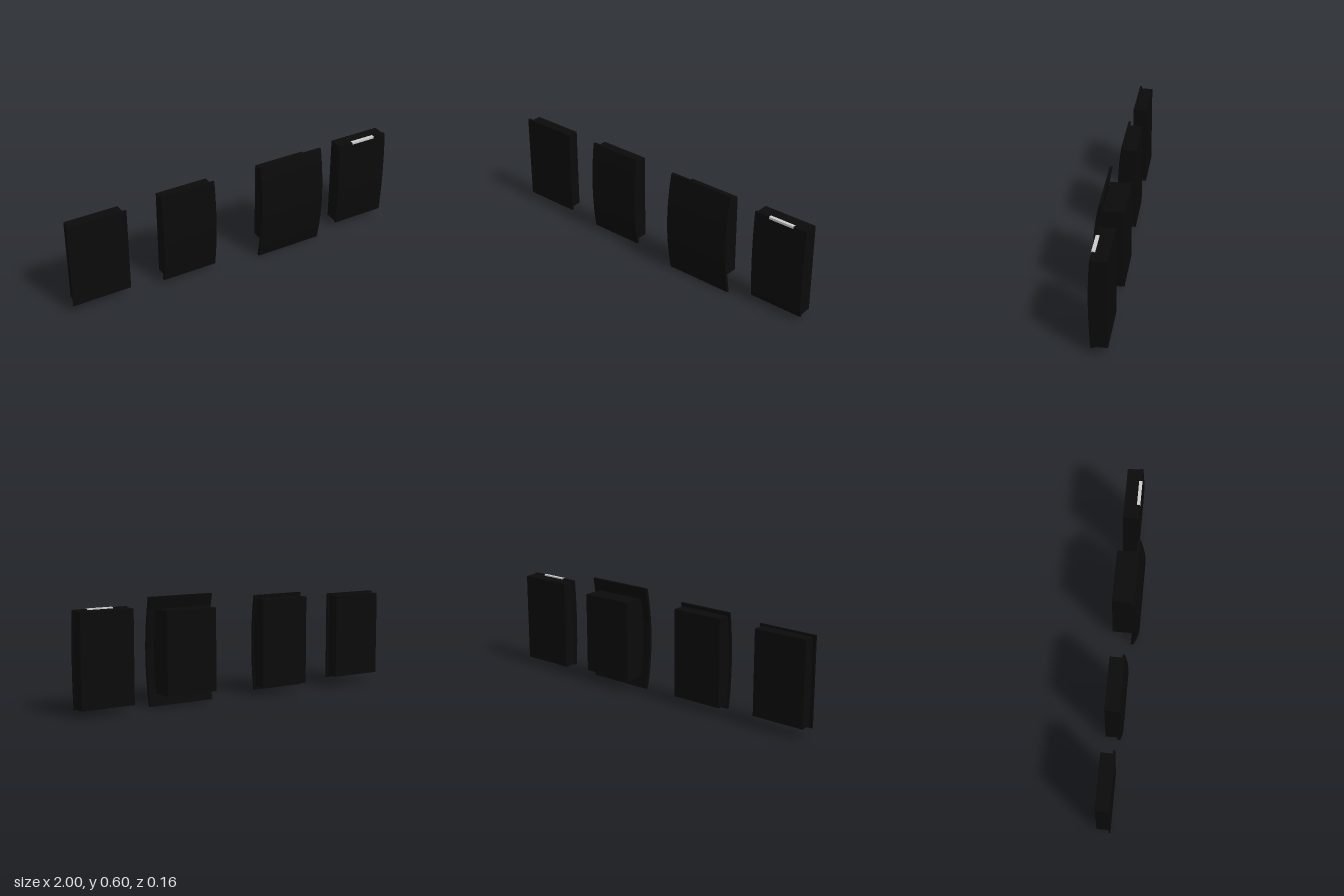
import * as THREE from 'three';
import { toCreasedNormals } from 'three/addons/utils/BufferGeometryUtils.js';

const black = new THREE.MeshStandardMaterial({ color: 0x0a0a0a });
const light = new THREE.MeshStandardMaterial({ color: 0xcccccc });

// Slab between x0 and x1, y0 and y1, with back and front faces that bulge towards +z
function slab(name, [x0, x1], [y0, y1], back, front, backBulge = 0, frontBulge = 0, material = black) {
  const mid = (y0 + y1) / 2;
  const side = new THREE.Shape();
  side.moveTo(back, y0);
  side.lineTo(front, y0);
  if (frontBulge) side.quadraticCurveTo(front + 2 * frontBulge, mid, front, y1);
  else side.lineTo(front, y1);
  side.lineTo(back, y1);
  if (backBulge) side.quadraticCurveTo(back + 2 * backBulge, mid, back, y0);
  else side.lineTo(back, y0);
  const geo = new THREE.ExtrudeGeometry(side, { depth: x1 - x0, bevelEnabled: false, curveSegments: 20 });
  geo.translate(0, 0, -(x1 - x0) / 2);
  geo.rotateY(-Math.PI / 2);
  geo.translate((x0 + x1) / 2, 0, 0);
  const mesh = new THREE.Mesh(toCreasedNormals(geo, 0.5), material);
  mesh.name = name;
  return mesh;
}

// Each unit: a rear housing and a front plate, flat or gently curved
const units = [
  { name: 'flatUnit',
    plate: { x: [-1, -0.66], y: [0.05, 0.552], z: [0.004, 0.015], bulge: 0 },
    body: { x: [-0.985, -0.675], y: [0.06, 0.542], back: -0.063 } },
  { name: 'curvedUnit',
    plate: { x: [-0.46, -0.135], y: [0.028, 0.572], z: [0.006, 0.02], bulge: 0.02 },
    body: { x: [-0.45, -0.145], y: [0.048, 0.552], back: -0.063 } },
  { name: 'largeCurvedUnit',
    plate: { x: [0.138, 0.538], y: [0, 0.598], z: [0.03, 0.046], bulge: 0.034 },
    body: { x: [0.183, 0.493], y: [0.068, 0.53], back: -0.08 } },
  { name: 'stripUnit',
    plate: { x: [0.682, 1], y: [0.038, 0.56], z: [0.01, 0.025], bulge: 0.01 },
    body: { x: [0.686, 0.996], y: [0.043, 0.555], back: -0.063 } },
];

export function createModel() {
  const model = new THREE.Group();
  model.name = 'panelUnits';
  for (const { name, plate, body } of units) {
    const unit = new THREE.Group();
    unit.name = name;
    unit.add(slab('frontPlate', plate.x, plate.y, plate.z[0], plate.z[1], plate.bulge, plate.bulge));
    // The housing follows the curve and ends inside the plate
    unit.add(slab('housing', body.x, body.y, body.back, (plate.z[0] + plate.z[1]) / 2, 0, plate.bulge));
    model.add(unit);
  }
  // Light strip set into the upper edge of the last unit
  model.children[3].add(slab('lightStrip', [0.77, 0.92], [0.549, 0.562], 0.008, 0.027, 0, 0, light));
  return model;
}
